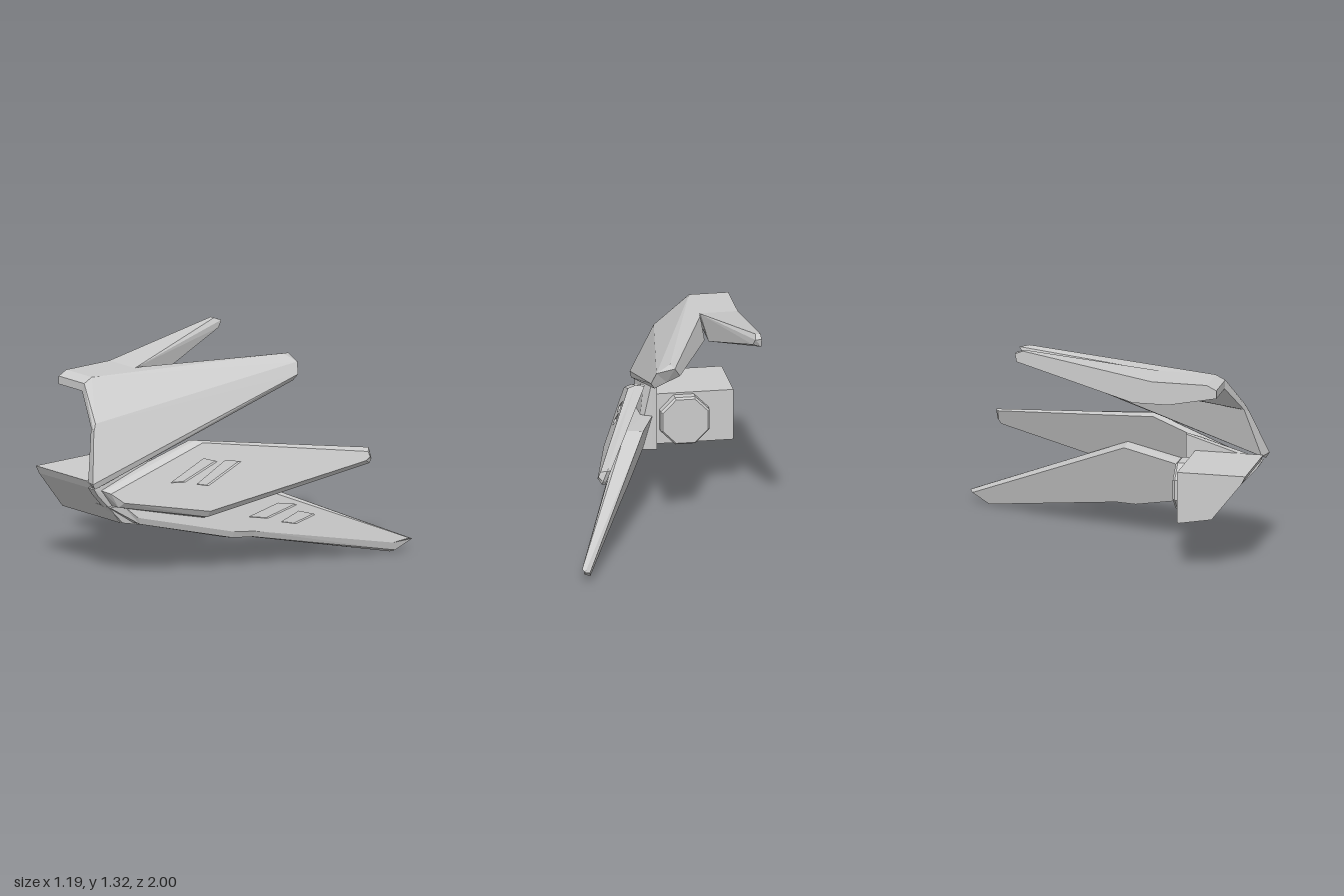
import * as THREE from 'three';
import { ConvexGeometry } from 'three/addons/geometries/ConvexGeometry.js';

const material = new THREE.MeshStandardMaterial({ color: 0xcccccc, flatShading: true });

function add(group, name, geometry) {
  const mesh = new THREE.Mesh(geometry, material);
  mesh.name = name;
  group.add(mesh);
  return mesh;
}

// Faceted solid around a handful of corners [x, y, z]
const hull = (points) => new ConvexGeometry(points.map((p) => new THREE.Vector3(...p)));

// Slanted blade. Outlines are [z, y] pairs; x follows the plane n.p = c.
// The face is joined to a wider rim and a back outline, and has sunken slots.
function bladeGeometry({ n, c, face, rim, back, slots, rimDepth, backDepth, growth }) {
  const pos = [];
  const at = (depth, taper = 0) => ([z, y]) =>
    [(c - n[1] * y - n[2] * z) / n[0] - depth - taper * (z + 1), y, z];
  const cap = (outline, holes, place, flip) => {
    const flat = (list) => list.map(([z, y]) => new THREE.Vector2(-z, y));
    const all = [outline, ...holes].flat().map(place);
    for (const [i, j, k] of THREE.ShapeUtils.triangulateShape(flat(outline), holes.map(flat))) {
      pos.push(...all[i], ...all[flip ? k : j], ...all[flip ? j : k]);
    }
  };
  const wall = (a, b) => a.forEach((p, i) => {
    const j = (i + 1) % a.length;
    pos.push(...p, ...b[i], ...b[j], ...p, ...b[j], ...a[j]);
  });

  const holes = slots.map((s) => [...s].reverse());
  const front = at(0), floor = at(0.02), side = at(rimDepth), rear = at(backDepth, growth);
  cap(face, holes, front, false);
  wall(face.map(front), rim.map(side));
  wall(rim.map(side), back.map(rear));
  cap(back, [], rear, true);
  slots.forEach((slot, i) => {
    wall(holes[i].map(front), holes[i].map(floor));
    cap(slot, [], floor, false);
  });

  const g = new THREE.BufferGeometry();
  g.setAttribute('position', new THREE.Float32BufferAttribute(pos, 3));
  g.computeVertexNormals();
  return g;
}

export function createModel() {
  const model = new THREE.Group();
  model.name = 'wingedHalfShell';

  // Upper cowl: flat crown, centre spike and a folded side wing
  const cowl = new THREE.Group();
  cowl.name = 'upperCowl';
  model.add(cowl);

  const crown = [];
  for (const [top, lip, under] of [[-0.6, -0.6, -0.6], [-0.36, -0.38, -0.4]]) {
    crown.push([top, 1.18, 0.74], [top, 1.15, 0.8], [lip, 1.1, 0.8],
      [under, 1.04, 0.5], [under, 1.04, 0.28], [top, 1.18, 0.38]);
  }
  add(cowl, 'crown', hull(crown));

  add(cowl, 'centreSpike', hull([
    [-0.6, 1.18, 0.4], [-0.36, 1.18, 0.4], [-0.6, 1.04, 0.28], [-0.4, 1.04, 0.28],
    [-0.6, 1.32, -0.4], [-0.57, 1.32, -0.4], [-0.6, 1.3, -0.45], [-0.56, 1.3, -0.45],
    [-0.6, 1.25, -0.44], [-0.55, 1.26, -0.42],
  ]));

  // Corners shared by both wing panels along the fold
  const fold = [[-0.165, 0.95, 0.875], [-0.15, 0.9, 0.9], [-0.2, 0.92, 0.88],
    [0.06, 1.15, -0.53], [-0.01, 1.075, -0.49]];
  add(cowl, 'wingUpperPanel', hull([...fold,
    [-0.36, 1.18, 0.74], [-0.36, 1.15, 0.8], [-0.38, 1.1, 0.8], [-0.4, 1.04, 0.5],
    [-0.36, 1.18, 0.35], [-0.37, 1.06, 0.25],
    [-0.03, 1.19, -0.49], [-0.05, 1.18, -0.55], [-0.09, 1.115, -0.5],
  ]));
  add(cowl, 'wingLowerPanel', hull([...fold,
    [-0.04, 0.615, 1.0], [-0.045, 0.58, 0.98], [-0.12, 0.61, 0.97],
    [0.09, 1.08, -0.51], [0.065, 1.04, -0.49],
  ]));

  // Chin block with an undercut lip, raked front and sloping underside
  const chin = [];
  for (const [x, y, z] of [[-0.12, 0.62, 0.557], [-0.12, 0.62, 0.98], [-0.08, 0.57, 0.955],
    [-0.05, 0.335, 0.77], [-0.06, 0.3, 0.57], [-0.12, 0.3, 0.557]]) {
    chin.push([x, y, z], [-0.6, y, z]);
  }
  add(model, 'chinBlock', hull(chin));

  // Octagonal boss on the back of the chin
  const boss = new THREE.Group();
  boss.name = 'rearBoss';
  boss.position.set(-0.295, 0.458, 0);
  model.add(boss);
  for (const [name, rBack, rFront, z, depth] of [
    ['bossBody', 0.162, 0.162, 0.54, 0.07], ['bossChamfer', 0.15, 0.162, 0.4975, 0.015]]) {
    const g = new THREE.CylinderGeometry(rFront, rBack, depth, 8);
    g.rotateY(Math.PI / 8).rotateX(Math.PI / 2);
    add(boss, name, g).position.z = z;
  }

  // Thin side mount carrying the blades
  const mount = [];
  for (const [z, y, outer] of [[0.5, 0.72, -0.09], [0.57, 0.69, -0.05], [0.97, 0.575, -0.065],
    [0.94, 0.53, -0.065], [0.76, 0.335, -0.045], [0.52, 0.285, 0.0], [0.5, 0.285, -0.09]]) {
    mount.push([-0.12, y, z], [outer, y, z]);
  }
  add(model, 'bladeMount', hull(mount));

  // Two swept blades with paired slots
  add(model, 'upperBlade', bladeGeometry({
    n: [0.9, 0.36, 0.25], c: 0.4335, rimDepth: 0.04, backDepth: 0.055, growth: 0.035,
    face: [[0.9, 0.55], [0.83, 0.49], [0.31, 0.39], [-0.74, 0.575], [-0.77, 0.595], [-0.765, 0.625], [0.25, 0.78]],
    rim: [[0.92, 0.56], [0.85, 0.46], [0.31, 0.35], [-0.78, 0.55], [-0.8, 0.575], [-0.8, 0.64], [0.27, 0.79]],
    back: [[0.91, 0.56], [0.84, 0.455], [0.31, 0.335], [-0.77, 0.545], [-0.785, 0.57], [-0.785, 0.635], [0.27, 0.78]],
    slots: [
      [[0.51, 0.575], [0.42, 0.57], [0.19, 0.665], [0.27, 0.69]],
      [[0.35, 0.55], [0.28, 0.535], [0.04, 0.65], [0.14, 0.665]],
    ],
  }));
  add(model, 'lowerBlade', bladeGeometry({
    n: [0.93, 0.27, 0.25], c: 0.33, rimDepth: 0.025, backDepth: 0.055, growth: 0.075,
    face: [[0.8, 0.46], [0.72, 0.38], [0.13, 0.235], [0, 0.225], [-0.86, 0.065], [-0.965, 0.082], [0.08, 0.54]],
    rim: [[0.87, 0.45], [0.7, 0.335], [0.13, 0.195], [0, 0.187], [-0.88, 0.015], [-1, 0.07], [0.08, 0.57]],
    back: [[0.86, 0.45], [0.69, 0.33], [0.13, 0.18], [0, 0.172], [-0.87, 0], [-0.98, 0.06], [0.08, 0.56]],
    slots: [
      [[0.02, 0.31], [-0.1, 0.29], [-0.3, 0.35], [-0.18, 0.37]],
      [[-0.18, 0.26], [-0.27, 0.24], [-0.4, 0.28], [-0.3, 0.31]],
    ],
  }));

  return model;
}
